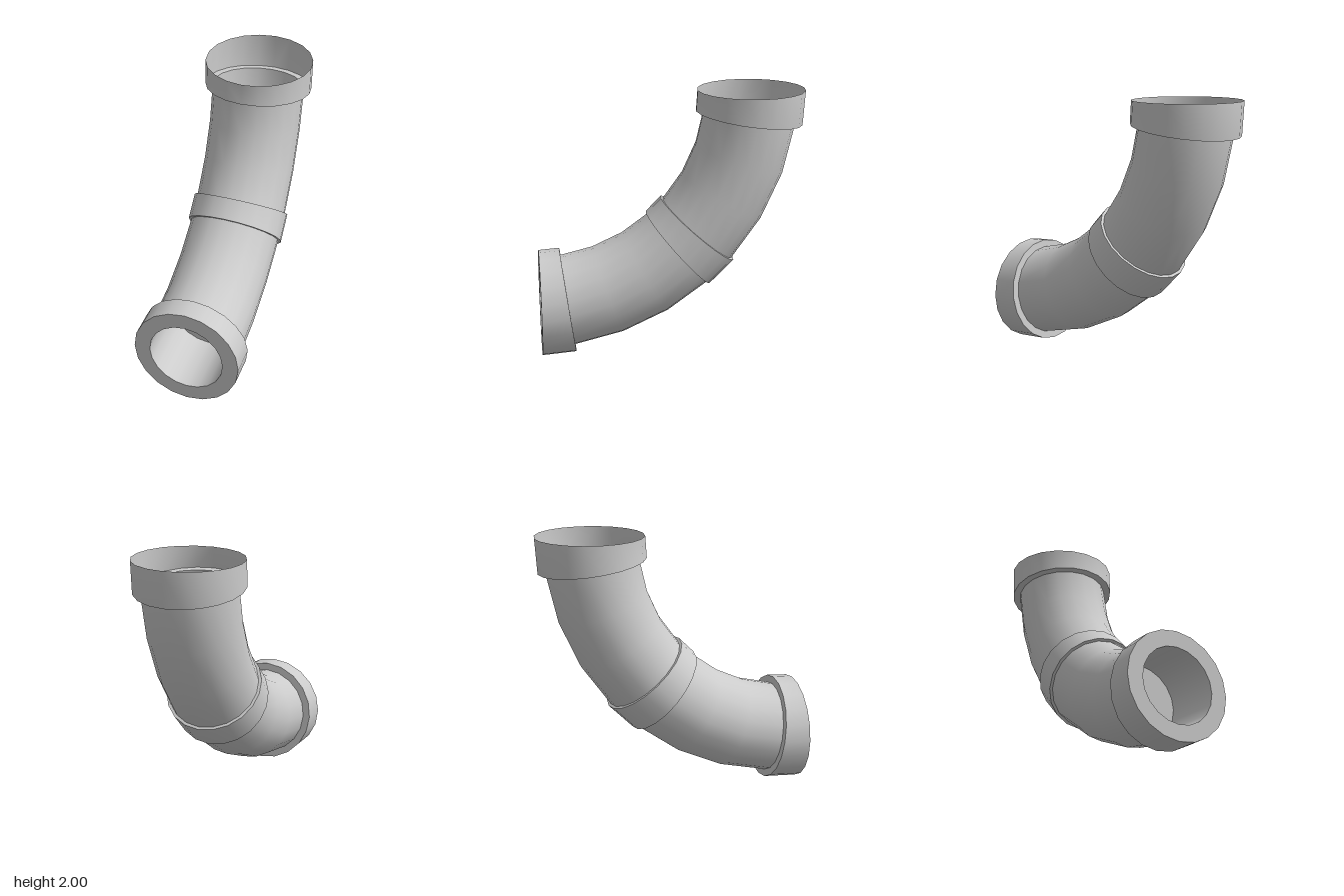
import * as THREE from 'three';

const BEND = 1.6;      // radius of the centre line
const SIDES = 20;
const PIPE = 0.345, BAND = 0.367, COLLAR = 0.4, BORE = 0.28;

export function createModel() {
  const model = new THREE.Group();
  model.name = 'pipeElbow';
  const material = new THREE.MeshStandardMaterial({ color: 0xcccccc, side: THREE.DoubleSide });

  // The bend turns about (y 2, z 1): 0 degrees is the front end, 90 the top end
  const frame = new THREE.Matrix4().makeBasis(
    new THREE.Vector3(0, -1, 0), new THREE.Vector3(0, 0, -1), new THREE.Vector3(1, 0, 0)
  ).setPosition(0, 2, 1);

  const add = (name, geometry) => {
    const mesh = new THREE.Mesh(geometry, material);
    mesh.name = name;
    model.add(mesh);
  };

  // Curved tube wall between two angles
  const sleeve = (name, radius, from, to, segments = 1) => {
    const arc = THREE.MathUtils.degToRad(to - from);
    add(name, new THREE.TorusGeometry(BEND, radius, SIDES, segments, arc)
      .rotateZ(THREE.MathUtils.degToRad(from)).applyMatrix4(frame));
  };

  // Flat step across the tube; facing is 1 towards the top end, -1 towards the front end
  const step = (name, inner, outer, angle, facing) => {
    add(name, new THREE.RingGeometry(inner, outer, SIDES)
      .rotateX(-facing * Math.PI / 2).translate(BEND, 0, 0)
      .rotateZ(THREE.MathUtils.degToRad(angle)).applyMatrix4(frame));
  };

  // Front collar
  step('frontFace', BORE, COLLAR, 0, -1);
  sleeve('frontCollar', COLLAR, 0, 7.5);
  step('frontCollarBack', PIPE, COLLAR, 7.5, 1);

  // Two pipe lengths joined by a band
  sleeve('lowerPipe', PIPE, 7.5, 41.25, 3);
  step('bandLowerEdge', PIPE, BAND, 41.25, -1);
  sleeve('jointBand', BAND, 41.25, 48.75);
  step('bandUpperEdge', PIPE, BAND, 48.75, 1);
  sleeve('upperPipe', PIPE, 48.75, 82.5, 3);

  // Open socket at the top
  step('socketLedge', PIPE, COLLAR, 82.5, 1);
  sleeve('topSocket', COLLAR, 82.5, 90);

  // Recess in the front face, rising slightly towards its closed end
  const depth = 0.45, rise = 0.037;
  const bore = new THREE.CylinderGeometry(BORE, BORE, depth, SIDES, 1, true)
    .rotateX(Math.PI / 2).translate(0, 0, -depth / 2);
  const points = bore.attributes.position;
  for (let i = 0; i < points.count; i++) {
    points.setY(i, points.getY(i) - points.getZ(i) * rise / depth);
  }
  add('frontBore', bore.translate(0, 2 - BEND, 1));
  add('boreEnd', new THREE.CircleGeometry(BORE, SIDES).translate(0, 2 - BEND + rise, 1 - depth));

  return model;
}
